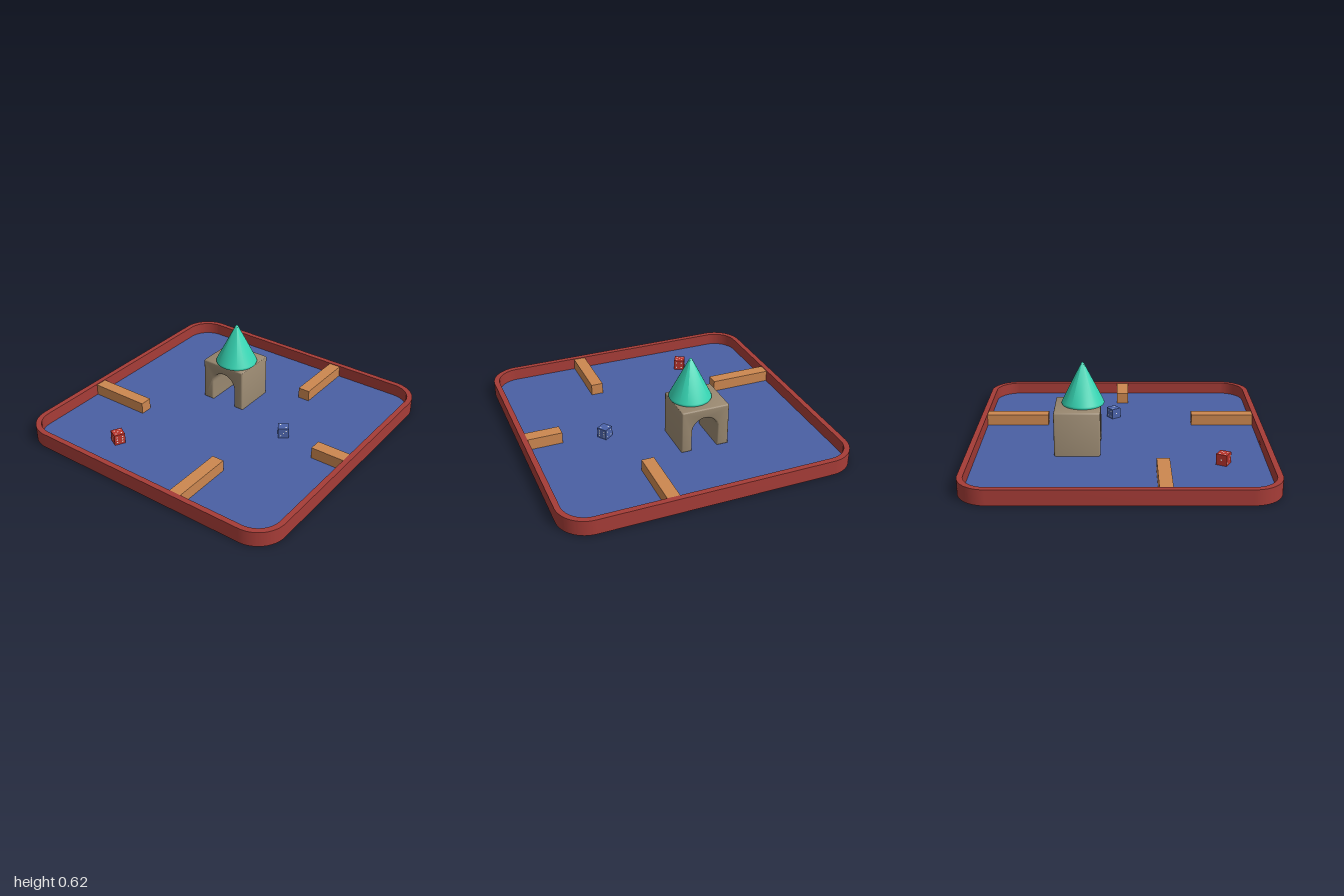
import * as THREE from 'three';
import { toCreasedNormals } from 'three/addons/utils/BufferGeometryUtils.js';

const mat = (name, color, extra = {}) => {
  const m = new THREE.MeshStandardMaterial({ color, ...extra });
  m.name = name;
  return m;
};

// Square with rounded corners, centred on the origin
function roundedSquare(Type, half, r) {
  const s = new Type(), c = half - r;
  s.absarc(c, c, r, 0, Math.PI / 2);
  s.absarc(-c, c, r, Math.PI / 2, Math.PI);
  s.absarc(-c, -c, r, Math.PI, Math.PI * 1.5);
  s.absarc(c, -c, r, Math.PI * 1.5, Math.PI * 2);
  s.closePath();
  return s;
}

export function createModel() {
  const group = new THREE.Group();
  const red = mat('wallRed', 0xa63c37);
  const blue = mat('floorBlue', 0x4a60a4, { side: THREE.DoubleSide });
  const orange = mat('barrierOrange', 0xcc8750);
  const stone = mat('towerStone', 0x998870);
  const teal = mat('roofTeal', 0x36d6b4);
  const dieRed = mat('dieRed', 0xb8332c);
  const dieBlue = mat('dieBlue', 0x4a62a8);
  const white = mat('pipWhite', 0xe6e6e6);

  const FLOOR = 0.02;
  const add = (parent, name, geometry, material, x = 0, y = 0, z = 0) => {
    const mesh = new THREE.Mesh(geometry, material);
    mesh.name = name;
    mesh.position.set(x, y, z);
    parent.add(mesh);
    return mesh;
  };

  // Outer wall: a rounded square ring
  const ring = roundedSquare(THREE.Shape, 1, 0.2);
  ring.holes.push(roundedSquare(THREE.Path, 0.962, 0.162));
  const wall = new THREE.ExtrudeGeometry(ring, { depth: 0.105, bevelEnabled: false, curveSegments: 16 });
  wall.rotateX(-Math.PI / 2);
  add(group, 'outerWall', toCreasedNormals(wall, 0.5), red);

  // Floor sheet
  const floor = new THREE.ShapeGeometry(roundedSquare(THREE.Shape, 0.963, 0.163), 16);
  floor.rotateX(-Math.PI / 2);
  add(group, 'floor', floor, blue, 0, FLOOR, 0);

  // Barriers reaching in from each side: [x0, x1, z0, z1]
  const barriers = {
    backBarrier: [-0.32, -0.235, -0.963, -0.525],
    rightBarrier: [-0.963, -0.52, 0.255, 0.34],
    leftBarrier: [0.52, 0.963, 0.255, 0.34],
    frontBarrier: [-0.065, 0.022, 0.722, 0.963],
  };
  for (const [name, [x0, x1, z0, z1]] of Object.entries(barriers)) {
    add(group, name, new THREE.BoxGeometry(x1 - x0, 0.08, z1 - z0), orange,
      (x0 + x1) / 2, FLOOR + 0.0405, (z0 + z1) / 2);
  }

  // Tower block with an arch running through it along x
  const b = 0.012;
  const arch = new THREE.Shape();
  arch.moveTo(-0.022, FLOOR);
  arch.lineTo(0.05, FLOOR);
  arch.lineTo(0.05, 0.163);
  arch.absarc(0.1425, 0.163, 0.0925, Math.PI, 0, true);
  arch.lineTo(0.235, FLOOR);
  arch.lineTo(0.315, FLOOR);
  arch.lineTo(0.315, 0.316);
  arch.absarc(0.306, 0.316, 0.009, 0, Math.PI / 2);
  arch.lineTo(-0.013, 0.325);
  arch.absarc(-0.013, 0.316, 0.009, Math.PI / 2, Math.PI);
  arch.closePath();
  const block = new THREE.ExtrudeGeometry(arch, {
    depth: 0.31 - 2 * b, curveSegments: 12,
    bevelThickness: b, bevelSize: b, bevelOffset: -b, bevelSegments: 3,
  });
  block.translate(0, 0, b);
  block.rotateY(Math.PI / 2);
  add(group, 'towerBlock', toCreasedNormals(block, 0.6), stone, 0.13, 0.001, 0);

  // Conical roof with softened rim and tip
  const profile = [[0, 0.326], [0.134, 0.326], [0.142, 0.329], [0.145, 0.336], [0.142, 0.345],
    [0.012, 0.606], [0.007, 0.614], [0, 0.617]].map(([x, y]) => new THREE.Vector2(x, y));
  add(group, 'coneRoof', toCreasedNormals(new THREE.LatheGeometry(profile, 48), 0.8), teal, 0.25, 0, -0.112);

  // Dice: pip spots on each face, given as [column, row]
  const spots = {
    1: [[0, 0]],
    2: [[-1, -1], [1, 1]],
    3: [[-1, -1], [0, 0], [1, 1]],
    4: [[-1, -1], [1, 1], [-1, 1], [1, -1]],
    5: [[-1, -1], [1, 1], [-1, 1], [1, -1], [0, 0]],
    6: [[-1, -1], [1, 1], [-1, 1], [1, -1], [-1, 0], [1, 0]],
  };
  const q = Math.PI / 2;
  const makeDie = (name, size, material, x, z, turn, faces) => {
    const die = new THREE.Group();
    die.name = name;
    add(die, 'dieBody', new THREE.BoxGeometry(size, size, size), material);
    const sides = [[0, 0], [0, q], [0, 2 * q], [0, -q], [-q, 0], [q, 0]];
    sides.forEach(([rx, ry], i) => {
      const face = new THREE.Group();
      face.name = 'dieFace';
      face.rotation.set(rx, ry, 0);
      for (const [c, r] of spots[faces[i]]) {
        add(face, 'pip', new THREE.CircleGeometry(size * 0.07, 10), white,
          c * size * 0.25, r * size * 0.25, size / 2 + 0.0006);
      }
      die.add(face);
    });
    die.position.set(x, FLOOR + size / 2 + 0.0005, z);
    die.rotation.y = turn;
    group.add(die);
  };
  makeDie('redDie', 0.076, dieRed, -0.677, -0.43, -0.49, [6, 4, 1, 3, 5, 2]);
  makeDie('blueDie', 0.073, dieBlue, 0.047, 0.43, 0.62, [6, 4, 1, 3, 2, 5]);

  return group;
}
